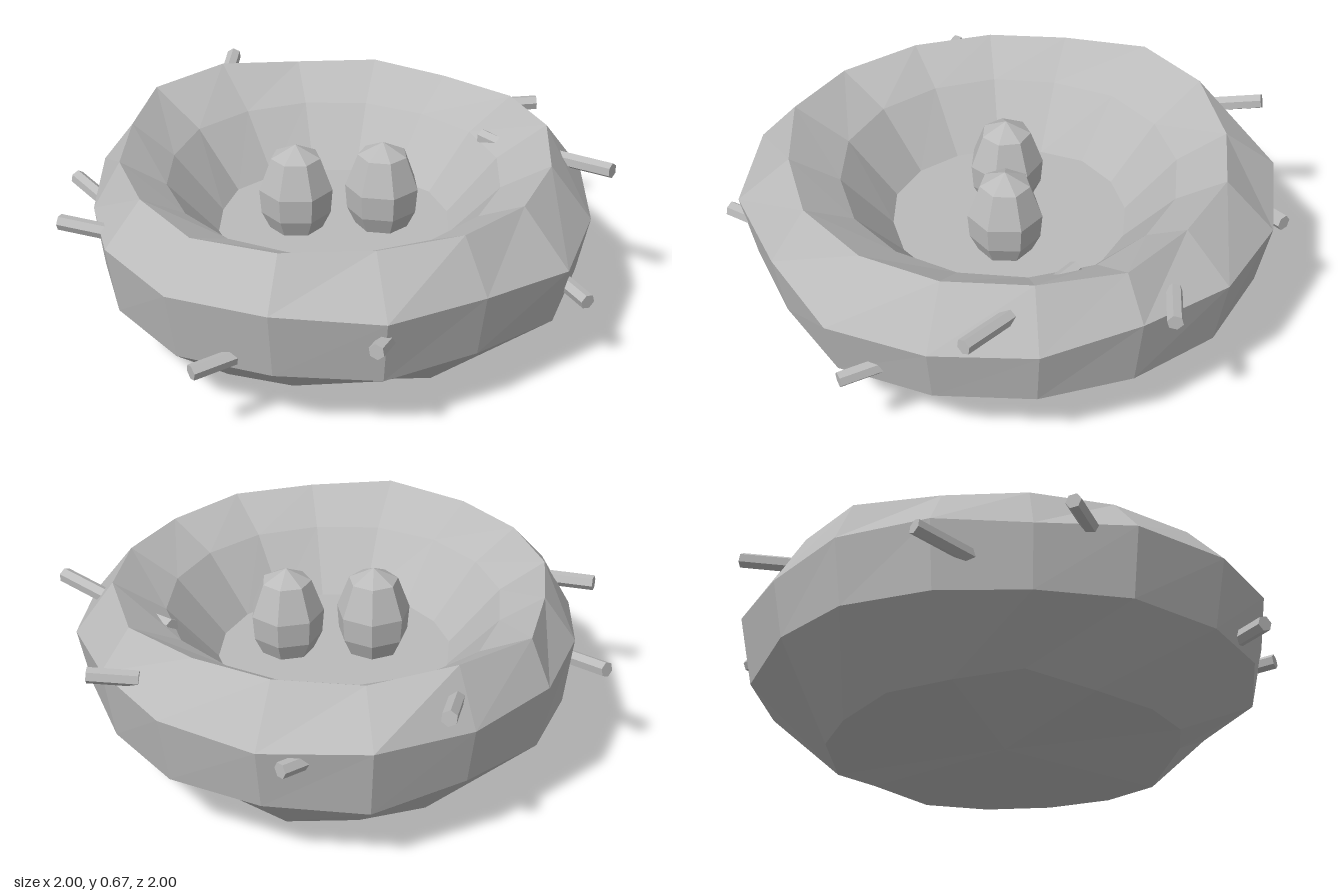
import * as THREE from 'three';

const SIDES = 16;

// Hand-shaped unevenness at each corner, from +x towards +z
const OUTLINE = [0.01, 0.04, 0, 0.05, 0.04, 0.03, -0.01, -0.06, -0.055, -0.02, -0.01, 0.045, 0.035, 0.02, -0.01, 0.01];
const RIM = [0, 0, 0.01, 0, 0.04, 0.03, -0.01, -0.02, -0.03, 0.04, 0.02, 0, 0, -0.02, 0.02, 0.01];
const RIM_LIFT = [0, -0.01, 0, 0, 0.01, -0.01, 0, 0, 0.01, 0.02, 0.03, 0, 0.01, 0, 0, 0.015];
const WALL_LIFT = [-0.03, -0.04, -0.01, 0, 0.02, 0, 0.01, -0.01, 0.02, 0.02, 0, 0.02, 0, 0.01, 0.02, -0.01];
const BASE_LIFT = [0, -0.01, -0.03, 0.03, 0, -0.02, -0.02, 0.03, 0, 0, -0.02, -0.01, -0.03, 0.01, -0.01, 0];

// Bowl rings: radius, height, radius offsets and their share, height offsets
const RINGS = [
  { r: 0, y: 0.03 },
  { r: 0.63, y: 0.032, out: OUTLINE, share: 0.2, lift: BASE_LIFT },
  { r: 0.88, y: 0.24, out: OUTLINE, share: 0.8, lift: RIM_LIFT },
  { r: 0.92, y: 0.48, out: OUTLINE, share: 1, lift: WALL_LIFT },
  { r: 0.78, y: 0.642, out: RIM, share: 1, lift: RIM_LIFT },
  { r: 0.605, y: 0.54, out: RIM, share: 0.3 },
  { r: 0.425, y: 0.335, out: RIM, share: 0.3 },
  { r: 0, y: 0.335 },
];

function ringPoint({ r, y, out, share, lift }, k) {
  const corner = k % SIDES, angle = (corner / SIDES) * Math.PI * 2;
  const radius = r + (out ? share * out[corner] : 0);
  const height = y + (lift ? lift[corner] : 0);
  return [radius * Math.cos(angle), height, radius * Math.sin(angle)];
}

// Joins each ring to the next; rings of radius 0 close the surface to a point
function bowlGeometry() {
  const pos = [];
  for (let i = 0; i < RINGS.length - 1; i++) {
    for (let k = 0; k < SIDES; k++) {
      const a = ringPoint(RINGS[i], k), b = ringPoint(RINGS[i], k + 1);
      const c = ringPoint(RINGS[i + 1], k), d = ringPoint(RINGS[i + 1], k + 1);
      if (i > 0) pos.push(...a, ...c, ...b);
      if (i < RINGS.length - 2) pos.push(...b, ...c, ...d);
    }
  }
  const geo = new THREE.BufferGeometry();
  geo.setAttribute('position', new THREE.Float32BufferAttribute(pos, 3));
  geo.computeVertexNormals();
  return geo;
}

export function createModel() {
  const model = new THREE.Group();
  model.name = 'nest';
  const grey = new THREE.MeshStandardMaterial({ color: 0xbbbbbb, flatShading: true });
  grey.name = 'grey';

  const add = (name, geo) => {
    const mesh = new THREE.Mesh(geo, grey);
    mesh.name = name;
    model.add(mesh);
    return mesh;
  };

  // Uneven bowl: underside, outer wall, rim, inner wall, floor
  add('bowl', bowlGeometry());

  // Two faceted eggs standing on the floor
  const eggProfile = [[0, 0.3], [0.09, 0.32], [0.128, 0.4], [0.135, 0.49], [0.09, 0.61], [0, 0.657]]
    .map(([r, y]) => new THREE.Vector2(r, y));
  [['leftEgg', 0.175, -0.035, 0.5], ['rightEgg', -0.125, 0.052, Math.PI / 2]].forEach(([name, x, z, turn]) => {
    const egg = add(name, new THREE.LatheGeometry(eggProfile, 7));
    egg.position.set(x, 0, z);
    egg.rotation.y = turn;
  });

  // Twigs poking out of the wall: free end, then the end inside the wall
  const twigs = [
    [[-0.985, 0.405, -0.01], [-0.78, 0.365, 0.14]],
    [[-0.865, 0.485, 0.48], [-0.66, 0.475, 0.5]],
    [[-0.25, 0.275, 0.985], [-0.1, 0.285, 0.84]],
    [[0.345, 0.41, 0.945], [0.375, 0.4, 0.8]],
    [[0.955, 0.29, 0.3], [0.84, 0.3, 0.17]],
    [[0.985, 0.575, -0.145], [0.76, 0.56, -0.25]],
    [[0.65, 0.545, -0.745], [0.48, 0.535, -0.705]],
    [[-0.09, 0.45, -0.98], [-0.18, 0.44, -0.85]],
    [[-0.585, 0.615, -0.8], [-0.57, 0.575, -0.61]],
    [[0.485, 0.555, -0.375], [0.66, 0.535, -0.28]],
  ];
  const up = new THREE.Vector3(0, 1, 0);
  twigs.forEach(([free, rooted], i) => {
    const p = new THREE.Vector3(...free), q = new THREE.Vector3(...rooted);
    const dir = p.clone().sub(q);
    const twig = add(`twig${i + 1}`, new THREE.CylinderGeometry(0.028, 0.028, dir.length(), 6));
    twig.position.copy(p).add(q).multiplyScalar(0.5);
    twig.quaternion.setFromUnitVectors(up, dir.normalize());
  });

  return model;
}
